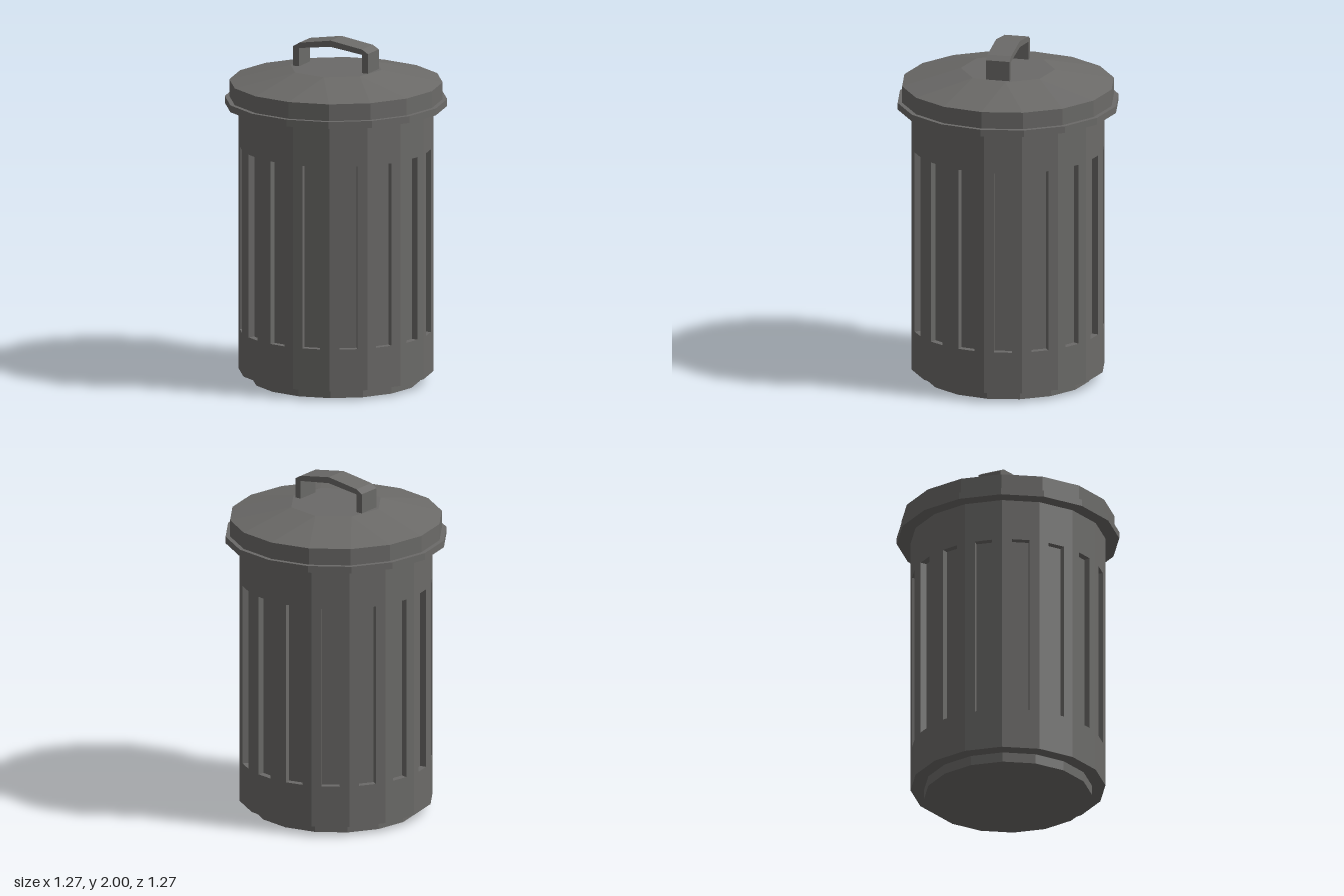
import * as THREE from 'three';

const SIDES = 16;
const STEP = (Math.PI * 2) / SIDES;
const BODY_R = 0.558, BODY_BOTTOM = 0.058, BODY_TOP = 1.613;
const SLOT_DEPTH = 0.038, SLOT_HALF = 0.051, SLOT_BOTTOM = 0.3, SLOT_TOP = 1.37;

export function createModel() {
  const group = new THREE.Group();
  group.name = 'trashCan';
  const metal = new THREE.MeshStandardMaterial({ color: 0x6b6a68, flatShading: true });
  metal.name = 'dark grey metal';

  const add = (name, geometry, parent = group) => {
    const mesh = new THREE.Mesh(geometry, metal);
    mesh.name = name;
    parent.add(mesh);
    return mesh;
  };
  // Sixteen-sided drum between two heights
  const drum = (name, r, y0, y1) => {
    const mesh = add(name, new THREE.CylinderGeometry(r, r, y1 - y0, SIDES));
    mesh.position.y = (y0 + y1) / 2;
    return mesh;
  };

  // Foot and inner wall, which forms the floor of the slots
  const apothem = BODY_R * Math.cos(STEP / 2);
  const coreR = (apothem - SLOT_DEPTH) / Math.cos(STEP / 2);
  drum('foot', 0.481, 0, BODY_BOTTOM);
  drum('innerWall', coreR, BODY_BOTTOM, BODY_TOP);

  // One outer wall panel with a slot, its back edges mitred to meet its neighbours
  const half = BODY_R * Math.sin(STEP / 2);
  const rectangle = (Type, w, y0, y1) => new Type([
    new THREE.Vector2(-w, y0), new THREE.Vector2(w, y0),
    new THREE.Vector2(w, y1), new THREE.Vector2(-w, y1),
  ]);
  const panelShape = rectangle(THREE.Shape, half, BODY_BOTTOM, BODY_TOP);
  panelShape.holes.push(rectangle(THREE.Path, SLOT_HALF, SLOT_BOTTOM, SLOT_TOP));
  const panel = new THREE.ExtrudeGeometry(panelShape, { depth: SLOT_DEPTH, bevelEnabled: false });
  const p = panel.attributes.position;
  for (let i = 0; i < p.count; i++) {
    if (p.getZ(i) < 0.001 && Math.abs(p.getX(i)) > half - 0.001) {
      p.setX(i, p.getX(i) * coreR / BODY_R);
    }
  }
  panel.translate(0, 0, apothem - SLOT_DEPTH);
  panel.computeVertexNormals();
  const wall = new THREE.Group();
  wall.name = 'slottedWall';
  group.add(wall);
  for (let i = 0; i < SIDES; i++) {
    add('wallPanel', panel, wall).rotation.y = (i + 0.5) * STEP;
  }

  // Lid rim and band
  drum('lidRim', 0.637, BODY_TOP, 1.653);
  drum('lidBand', 0.611, 1.653, 1.751);

  // Lid slope: sixteen-sided edge rising to an eight-sided flat crown
  const ring = (r, y, t) => [r * Math.sin(t * STEP), y, r * Math.cos(t * STEP)];
  const verts = [];
  const tri = (a, b, c) => verts.push(...a, ...b, ...c);
  for (let k = 0; k < SIDES; k += 2) {
    const outer = [0, 1, 2].map((n) => ring(0.611, 1.751, k + n));
    const a = ring(0.27, 1.83, k + 0.5), b = ring(0.27, 1.83, k + 2.5);
    tri(a, outer[0], outer[1]);
    tri(a, outer[1], outer[2]);
    tri(a, outer[2], b);
    tri([0, 1.83, 0], a, b);
  }
  const slope = new THREE.BufferGeometry();
  slope.setAttribute('position', new THREE.Float32BufferAttribute(verts, 3));
  slope.computeVertexNormals();
  add('lidTop', slope);

  // Bent strap handle
  const rightHalf = [[0.238, 1.825], [0.238, 1.945], [0.2, 1.968]];
  const innerHalf = [[0.2, 1.825], [0.2, 1.937]];
  const mirror = (pts) => pts.map(([x, y]) => [-x, y]).reverse();
  const outline = [
    ...rightHalf, [0, 2], ...mirror(rightHalf),
    ...mirror(innerHalf).reverse(), [0, 1.964], ...innerHalf.slice().reverse(),
  ];
  const handle = new THREE.ExtrudeGeometry(
    new THREE.Shape(outline.map(([x, y]) => new THREE.Vector2(x, y))),
    { depth: 0.14, bevelEnabled: false },
  );
  handle.translate(0, 0, -0.07);
  add('handle', handle);

  return group;
}
